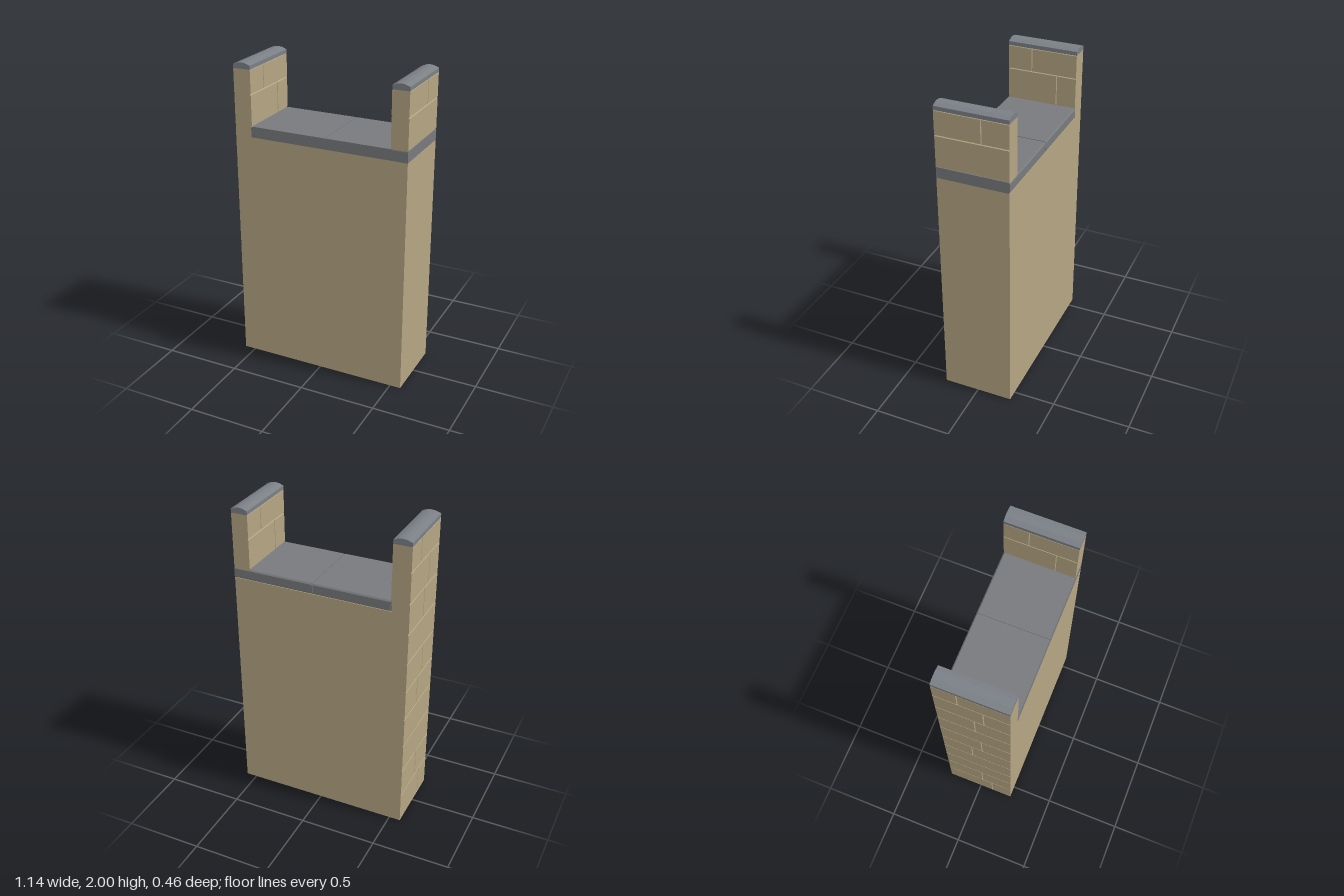
import * as THREE from 'three';

const STONE = new THREE.MeshStandardMaterial({ color: 0xb5a583, flatShading: true });
const SLAB = new THREE.MeshStandardMaterial({ color: 0x777a7d, flatShading: true });
const CAP = new THREE.MeshStandardMaterial({ color: 0x7b8086, flatShading: true });

const X0 = -0.574, X1 = 0.571, HALF = 0.228;   // outer faces
const LEDGE = 1.605, TOP = 1.96;               // slab top, wall top
const DEPTH = 0.006, CHAMFER = 0.004;          // masonry joints

export function createModel() {
  const model = new THREE.Group();

  const add = (parent, name, geometry, material) => {
    const mesh = new THREE.Mesh(geometry, material);
    mesh.name = name;
    parent.add(mesh);
    return mesh;
  };

  const box = (parent, name, material, x0, x1, y0, y1, z0, z1) => {
    const g = new THREE.BoxGeometry(x1 - x0, y1 - y0, z1 - z0);
    g.translate((x0 + x1) / 2, (y0 + y1) / 2, (z0 + z1) / 2);
    return add(parent, name, g, material);
  };

  // One facing block: a thin box whose outer face is drawn in at its joints
  const block = (parent, face, dir, y0, y1, z0, z1) => {
    const inner = face - dir * DEPTH;
    const mesh = box(parent, 'facingBlock', STONE,
      Math.min(face, inner), Math.max(face, inner), y0, y1, z0, z1);
    const p = mesh.geometry.attributes.position;
    for (let i = 0; i < p.count; i++) {
      if (Math.abs(p.getX(i) - face) > 1e-4) continue;
      const y = p.getY(i), z = p.getZ(i);
      if (y > 0.001) p.setY(i, y + (y > (y0 + y1) / 2 ? -CHAMFER : CHAMFER));
      if (Math.abs(z) < HALF - 1e-4) p.setZ(i, z + (z > (z0 + z1) / 2 ? -CHAMFER : CHAMFER));
    }
  };

  // Courses of blocks on one side; each entry is the z of its upright joint
  const facing = (name, face, dir, bottom, joints) => {
    const group = new THREE.Group();
    group.name = name;
    model.add(group);
    joints.forEach((joint, i) => {
      const y0 = bottom + i * 0.2;
      const y1 = Math.min(y0 + 0.2, TOP);
      const cuts = joint === null ? [-HALF, HALF] : [-HALF, joint, HALF];
      for (let k = 0; k + 1 < cuts.length; k++) block(group, face, dir, y0, y1, cuts[k], cuts[k + 1]);
    });
  };

  // Solid wall body and the two end walls rising above the ledge
  box(model, 'wallBody', STONE, X0 + DEPTH, X1, 0, 1.535, -HALF, HALF);
  box(model, 'tallEndWall', STONE, X0 + DEPTH, -0.458 - DEPTH, 1.535, TOP, -HALF, HALF);
  box(model, 'shortEndWall', STONE, 0.463 + DEPTH, X1 - DEPTH, 1.6, TOP, -HALF, HALF);

  // Masonry facings
  facing('tallWallOuterFacing', X0, -1, 0.005,
    [0.09, 0.02, null, null, -0.03, 0.04, null, 0.01, 0.07, -0.08]);
  facing('tallWallInnerFacing', -0.458, 1, LEDGE, [-0.1, 0.07]);
  facing('shortWallInnerFacing', 0.463, -1, LEDGE, [0.1, -0.07]);
  facing('shortWallOuterFacing', X1, 1, LEDGE, [null, -0.06]);
  box(model, 'facingFoot', STONE, X0, X0 + DEPTH, 0, 0.005, -HALF, HALF);

  // Ledge: a core behind two slabs with an open joint and an eased back edge
  box(model, 'ledgeCore', SLAB, -0.464, X1, 1.535, 1.6, -HALF + 0.006, HALF);
  const slab = (x0, x1) => {
    const back = -HALF - 0.003;
    const s = new THREE.Shape([
      [HALF, 1.535], [HALF, LEDGE], [back + 0.008, LEDGE],
      [back, LEDGE - 0.008], [back, 1.543], [back + 0.008, 1.535],
    ].map(([z, y]) => new THREE.Vector2(-z, y)));
    const g = new THREE.ExtrudeGeometry(s, { depth: x1 - x0, bevelEnabled: false });
    g.rotateY(Math.PI / 2).translate(x0, 0, 0);
    add(model, 'ledgeSlab', g, SLAB);
  };
  slab(-0.458, 0.039);
  slab(0.044, X1);

  // Low crowned copings on both end walls
  const coping = (name, x0, x1) => {
    const w = (x1 - x0) / 2;
    const s = new THREE.Shape([
      [-w, TOP], [w, TOP], [w, 1.985], [w * 0.45, 1.997],
      [0, 2], [-w * 0.45, 1.997], [-w, 1.985],
    ].map(([x, y]) => new THREE.Vector2(x, y)));
    const g = new THREE.ExtrudeGeometry(s, { depth: 2 * HALF, bevelEnabled: false });
    g.translate((x0 + x1) / 2, 0, -HALF);
    add(model, name, g, CAP);
  };
  coping('tallWallCoping', X0, -0.458);
  coping('shortWallCoping', 0.463, X1);

  return model;
}
